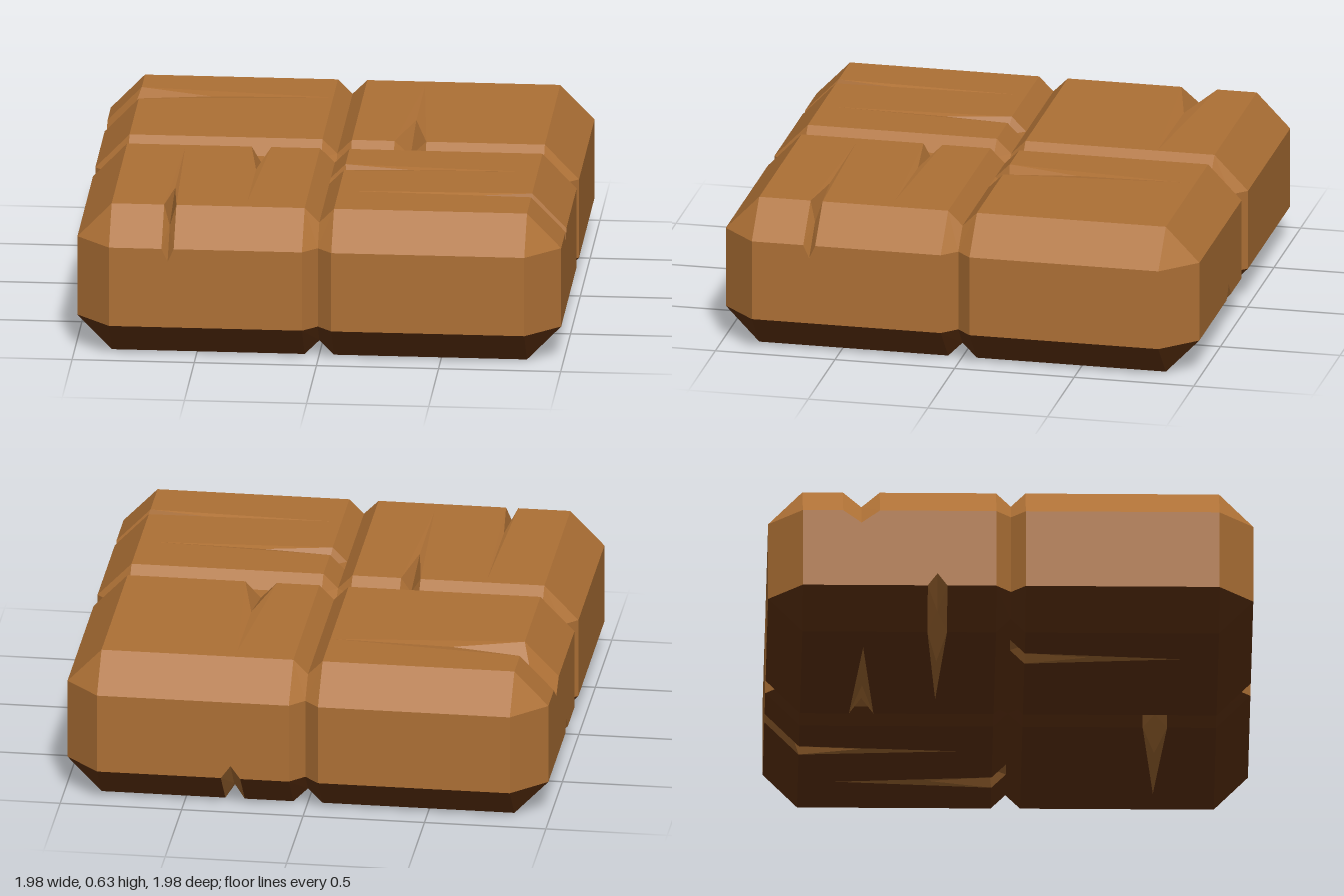
import * as THREE from 'three';

// Slab levels: half-space coordinates are u (across), h (height from mid-plane), v (along the cracks)
const MID = 0.322, T = 0.313, W = 0.168, F = 0.253; // middle, top, wall top, groove floor
const A = 0.99, B = 0.85, I = 0.06, G = 0.93;       // outer wall, outer bevel, inner bevel, groove end

// Cracks per quarter: c = position, w = half width, mid = end of the deep part, end = where it fades out
const thinCrack = { c: 0.61, w: 0.025, mid: 0.6, end: 0.1 };
const topInner = { c: 0.3, w: 0.04, mid: 0.34, end: 0.78 };
const lowInner = { c: 0.6, w: 0.05, mid: 0.32, end: 0.7 };
const QUARTERS = [
  { name: 'frontRightBlock', top: { outer: thinCrack, inner: topInner }, bottom: { inner: lowInner } },
  { name: 'frontLeftBlock', top: { outer: thinCrack, inner: topInner }, bottom: { inner: lowInner } },
  { name: 'backLeftBlock',
    top: { inner: { c: 0.3, w: 0.065, mid: 0.36, end: 0.8 } },
    bottom: { outer: { c: 0.3, w: 0.04, mid: 0.6, end: 0.2 }, inner: lowInner } },
  { name: 'backRightBlock',
    top: { outer: { c: 0.61, w: 0.075, mid: 0.56, end: 0.06 } },
    bottom: { outer: { c: 0.3, w: 0.04, mid: 0.55, end: 0.2 }, inner: lowInner } },
];

const triNormal = (a, b, c) => b.clone().sub(a).cross(c.clone().sub(a));

// Adds one flat polygon, turned away from the block centre or toward a given point
function addPolygon(out, pts, s, toward) {
  const place = ([u, h, v]) => new THREE.Vector3(-u, MID + s * h, v);
  const p = pts.map(place);
  const n = new THREE.Vector3(), mid = new THREE.Vector3();
  p.forEach((q, i) => {
    n.add(q.clone().cross(p[(i + 1) % p.length]));
    mid.addScaledVector(q, 1 / p.length);
  });
  const dir = toward ? place(toward).sub(mid) : mid.clone().sub(place([0.5, 0, 0.5]));
  if (n.dot(dir) < 0) n.negate();
  const ax = Math.abs(n.x), ay = Math.abs(n.y), az = Math.abs(n.z);
  const flat = p.map((q) => ay >= ax && ay >= az ? new THREE.Vector2(q.x, q.z)
    : ax >= az ? new THREE.Vector2(q.y, q.z) : new THREE.Vector2(q.x, q.y));
  for (const [i, j, k] of THREE.ShapeUtils.triangulateShape(flat, [])) {
    const flip = triNormal(p[i], p[j], p[k]).dot(n) < 0;
    for (const m of flip ? [i, k, j] : [i, j, k]) out.push(p[m].x, p[m].y, p[m].z);
  }
}

// Upper (s = 1) or lower (s = -1) half of a quarter block;
// walls and cracks go to body, the broad face with its bevels to skin
function addHalf(body, skin, s, { outer, inner }) {
  const wall = (...pts) => addPolygon(body, pts, s);
  const face = (...pts) => addPolygon(skin, pts, s);
  const L = (k) => k.c - k.w, R = (k) => k.c + k.w;

  // broad face, notched where cracks run in
  const top = [[I, T, I]];
  if (inner) top.push([L(inner), T, I], [inner.c, T, inner.end], [R(inner), T, I]);
  top.push([B, T, I], [B, T, B]);
  if (outer) top.push([R(outer), T, B], [outer.c, T, outer.end], [L(outer), T, B]);
  top.push([I, T, B]);
  face(...top);

  // bevels along v edges, split around a crack
  const bevel = (k, h, v0, v1) => {
    for (const [a, b] of k ? [[I, L(k)], [R(k), B]] : [[I, B]])
      face([a, T, v0], [b, T, v0], [b, h, v1], [a, h, v1]);
  };
  bevel(outer, W, B, A);
  bevel(inner, F, I, 0);

  // bevels along u edges and on the outer corner
  face([B, T, I], [B, T, B], [A, W, B], [A, W, I]);
  face([I, T, I], [I, T, B], [0, F, B], [0, F, I]);
  face([B, T, B], [A, W, B], [B, W, A]);

  // outer walls and vertical corner
  const front = [[I, 0, A], [B, 0, A], [B, W, A]];
  if (outer) front.push([R(outer), W, A], [outer.c, W - 0.055, A], [L(outer), W, A]);
  wall(...front, [I, W, A]);
  wall([A, 0, I], [A, 0, B], [A, W, B], [A, W, I]);
  wall([A, 0, B], [B, 0, A], [B, W, A], [A, W, B]);

  // grooves on the sides and their bevelled ends
  wall([I, 0, A], [I, W, A], [0, W, G], [0, 0, G]);
  wall([A, 0, I], [A, W, I], [G, W, 0], [G, 0, 0]);
  face([I, T, B], [I, W, A], [0, W, G], [0, F, B]);
  face([B, T, I], [A, W, I], [G, W, 0], [B, F, 0]);

  // pit where the grooves cross
  face([I, T, I], [0, F, I], [I, F, 0]);
  face([0, F, I], [0, 0.21, 0], [I, F, 0]);

  // crack troughs: deep part first, then a shallow tail
  for (const side of [-1, 1]) {
    const trough = (c, v, ...pts) => addPolygon(body, pts, s, [c, T + 0.2, v]);
    if (outer) {
      const { c, w, mid, end } = outer, e = c + side * w;
      const floor = [c, T - 0.08, 0.88], tip = [c, W - 0.055, A], shallow = [c, T - 0.008, mid];
      trough(c, 0.5, [c, T, end], [e, T, B], shallow);
      trough(c, 0.8, shallow, [e, T, B], floor);
      trough(c, 0.95, [e, T, B], [e, W, A], floor);
      trough(c, 1.05, [e, W, A], tip, floor);
    }
    if (inner) {
      const { c, w, mid, end } = inner, e = c + side * w;
      const floor = [c, F - 0.005, 0.07], shallow = [c, T - 0.006, mid];
      trough(c, 0.4, [c, T, end], [e, T, I], shallow);
      trough(c, 0.1, shallow, [e, T, I], floor);
      trough(c, 0, [e, T, I], [e, F, 0], floor);
      trough(c, 0, [e, F, 0], [c, F, 0], floor);
    }
  }
}

export function createModel() {
  const model = new THREE.Group();
  model.name = 'woodenSlab';
  const wood = new THREE.MeshStandardMaterial({ color: 0xad7035 });
  wood.name = 'brownWood';
  const darkWood = new THREE.MeshStandardMaterial({ color: 0x663510 });
  darkWood.name = 'darkBrownWood';

  // four quarter blocks turned around the centre, each with a dark underside
  QUARTERS.forEach(({ name, top, bottom }, i) => {
    const body = [], underside = [];
    addHalf(body, body, 1, top);
    addHalf(body, underside, -1, bottom);
    const block = new THREE.Group();
    block.name = name;
    for (const [part, points, material] of [['body', body, wood], ['underside', underside, darkWood]]) {
      const geometry = new THREE.BufferGeometry();
      geometry.setAttribute('position', new THREE.Float32BufferAttribute(points, 3));
      geometry.computeVertexNormals();
      const mesh = new THREE.Mesh(geometry, material);
      mesh.name = part;
      block.add(mesh);
    }
    block.rotation.y = i * Math.PI / 2;
    model.add(block);
  });
  return model;
}
